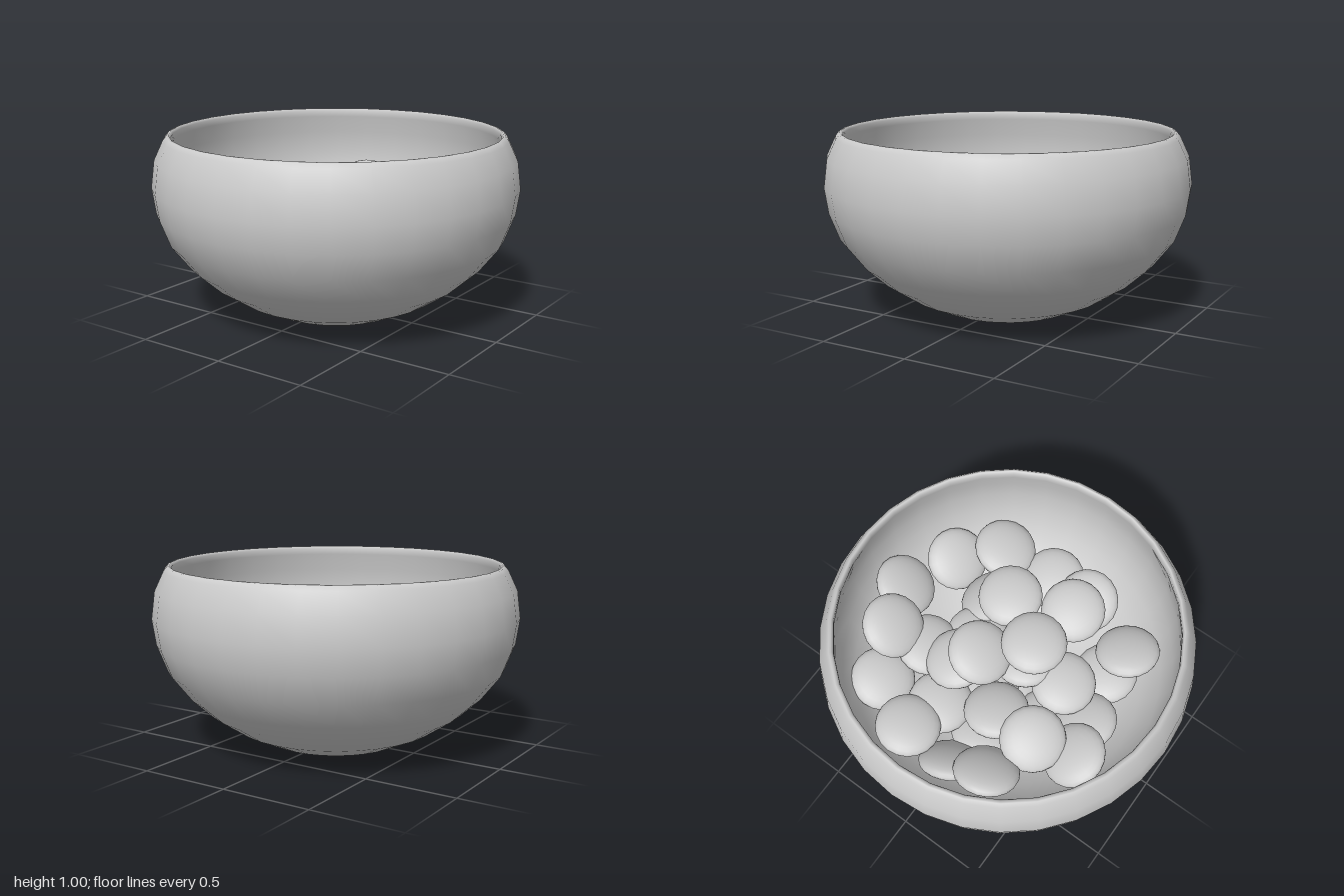
import * as THREE from 'three';

const material = new THREE.MeshStandardMaterial({ color: 0xcccccc });

// One closed profile: up the outside, over the rim, down the inside
function makeBowl() {
  const profile = [
    [0, 0], [0.2, 0.005], [0.385, 0.02], [0.56, 0.1], [0.71, 0.2], [0.82, 0.3],
    [0.925, 0.435], [0.98, 0.58], [1, 0.72], [0.98, 0.87], [0.93, 0.975], [0.912, 0.997],
    [0.9, 1], [0.89, 0.985], [0.892, 0.95], [0.915, 0.85], [0.925, 0.72], [0.905, 0.58],
    [0.855, 0.45], [0.765, 0.33], [0.65, 0.23], [0.5, 0.14], [0.33, 0.09], [0, 0.08],
  ].map(([r, y]) => new THREE.Vector2(r, y));
  const bowl = new THREE.Mesh(new THREE.LatheGeometry(profile, 32), material);
  bowl.name = 'bowl';
  return bowl;
}

// Lens-shaped sweets: position x, y, z and the sideways lean of the face (x, z)
const upperSweets = [
  [-0.29, 0.57, -0.59, 0.2, 0.5],
  [-0.08, 0.44, -0.63, 0.35, 0.6],
  [0.22, 0.48, -0.62, -0.05, 0.1],
  [0.51, 0.44, -0.48, -0.3, 0],
  [-0.61, 0.53, -0.24, 0.37, -0.22],
  [-0.39, 0.585, -0.31, -0.25, -0.22],
  [-0.12, 0.49, -0.27, 0.15, 0.2],
  [0.17, 0.43, -0.40, -0.1, 0],
  [0.12, 0.62, -0.09, -0.33, 0.05],
  [0.22, 0.54, -0.17, 0.2, -0.1],
  [0.42, 0.47, -0.18, -0.2, 0.1],
  [0.61, 0.59, -0.235, -0.5, 0.08],
  [0.73, 0.52, 0.02, -0.45, 0.25],
  [-0.54, 0.42, -0.02, 0.3, 0],
  [-0.33, 0.50, 0.07, -0.1, -0.05],
  [-0.10, 0.69, 0.105, 0, 0],
  [0.24, 0.43, 0.04, 0, 0],
  [0.19, 0.59, 0.29, 0, -0.1],
  [0.32, 0.45, 0.27, 0.5, 0],
  [0.62, 0.435, 0.355, -0.5, -0.1],
  [-0.47, 0.36, 0.30, 0.1, -0.1],
  [-0.51, 0.48, 0.44, 0.25, 0.2],
  [-0.14, 0.57, 0.43, -0.1, -0.25],
  [-0.15, 0.46, 0.57, 0, -0.5],
  [0.10, 0.42, 0.59, 0, -0.2],
  [0.42, 0.47, 0.56, -0.2, 0.08],
];

// Sweets buried beneath the heap
const lowerSweets = [
  [0, 0.15, 0, 0, 0],
  [-0.08, 0.52, 0.06, 0.1, 0.1],
  [-0.1, 0.36, -0.37, 0.1, 0.2],
  [-0.34, 0.33, -0.1, 0.2, 0],
  [0, 0.34, 0.2, 0, -0.1],
  [0.05, 0.3, -0.12, 0, 0.1],
];

function makeSweets() {
  const group = new THREE.Group();
  group.name = 'sweets';
  const lens = new THREE.SphereGeometry(0.18, 20, 14);
  lens.scale(1, 0.38, 1);
  const up = new THREE.Vector3(0, 1, 0);
  for (const [x, y, z, leanX, leanZ] of [...upperSweets, ...lowerSweets]) {
    const sweet = new THREE.Mesh(lens, material);
    sweet.name = 'sweet';
    sweet.position.set(x, y, z);
    const face = new THREE.Vector3(leanX, Math.sqrt(1 - leanX ** 2 - leanZ ** 2), leanZ);
    sweet.quaternion.setFromUnitVectors(up, face);
    group.add(sweet);
  }
  return group;
}

export function createModel() {
  const model = new THREE.Group();
  model.name = 'bowlOfSweets';
  model.add(makeBowl(), makeSweets());
  return model;
}
